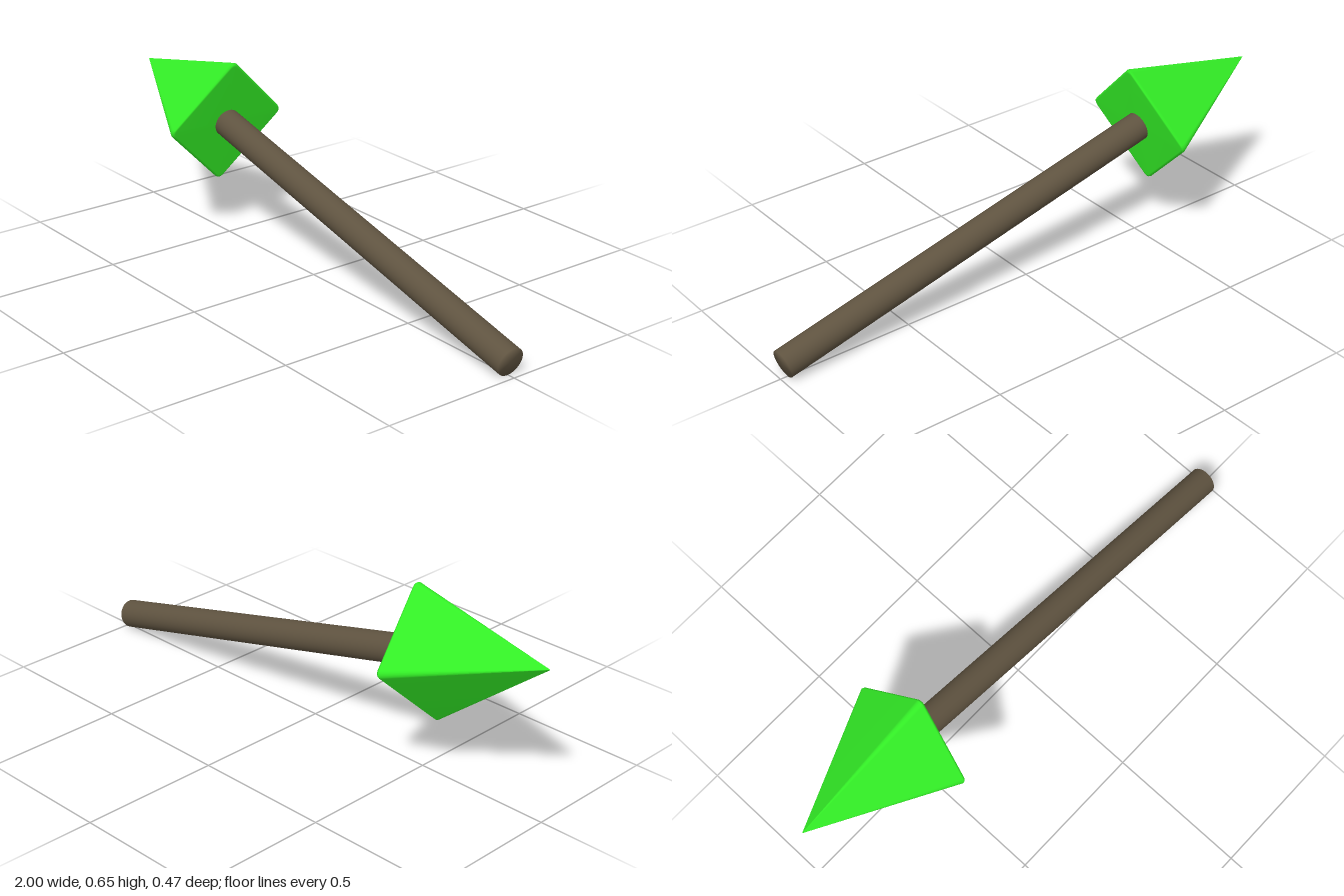
import * as THREE from 'three';
import { mergeVertices } from 'three/addons/utils/BufferGeometryUtils.js';

// Square pyramid with softened edges: base at y = 0, apex at y = height
function pyramid(halfDiagonal, height, round) {
  const outline = [];
  for (let corner = 0; corner < 4; corner++) {
    const mid = corner * Math.PI / 2;
    for (let k = 0; k < 5; k++) {
      const a = mid + (k / 4 - 0.5) * Math.PI / 2;
      outline.push([
        Math.cos(mid) * (halfDiagonal - round) + Math.cos(a) * round,
        Math.sin(mid) * (halfDiagonal - round) + Math.sin(a) * round,
      ]);
    }
  }
  // [scale, y] of each cross-section, from base centre to apex
  const rings = [[0, 0], [0.95, 0], [0.985, 0.002], [1, 0.01], [0, height]];
  const n = outline.length, positions = [], index = [];
  for (const [s, y] of rings) for (const [x, z] of outline) positions.push(x * s, y, z * s);
  for (let r = 0; r < rings.length - 1; r++) {
    for (let i = 0; i < n; i++) {
      const j = (i + 1) % n, a = r * n, b = a + n;
      if (r > 0) index.push(a + i, b + i, a + j);
      if (r < rings.length - 2) index.push(b + i, b + j, a + j);
    }
  }
  const g = new THREE.BufferGeometry();
  g.setAttribute('position', new THREE.Float32BufferAttribute(positions, 3));
  g.setIndex(index);
  g.computeVertexNormals();
  return g;
}

// Cylinder whose normals blend softly over the end caps
function softCylinder(radius, length) {
  let g = new THREE.CylinderGeometry(radius, radius, length, 32);
  g.deleteAttribute('normal');
  g.deleteAttribute('uv');
  g = mergeVertices(g);
  g.computeVertexNormals();
  return g;
}

export function createModel() {
  const group = new THREE.Group();
  group.name = 'arrow';
  const deg = THREE.MathUtils.degToRad;

  // Green pointed head, apex towards -x and slightly up
  const head = new THREE.Mesh(
    pyramid(0.234, 0.513, 0.02),
    new THREE.MeshStandardMaterial({ color: 0x33ee26 })
  );
  head.name = 'head';
  head.position.set(-0.5, 0.423, 0.001);
  head.rotation.z = deg(90 - 13.1);
  group.add(head);

  // Brown shaft running from the head base down to the tail
  const start = new THREE.Vector3(-0.51, 0.423, 0);
  const end = new THREE.Vector3(0.985, 0.051, 0.004);
  const shaft = new THREE.Mesh(
    softCylinder(0.051, start.distanceTo(end)),
    new THREE.MeshStandardMaterial({ color: 0x5f5340 })
  );
  shaft.name = 'shaft';
  shaft.position.copy(start).add(end).multiplyScalar(0.5);
  shaft.quaternion.setFromUnitVectors(
    new THREE.Vector3(0, 1, 0), start.clone().sub(end).normalize()
  );
  group.add(shaft);

  return group;
}
